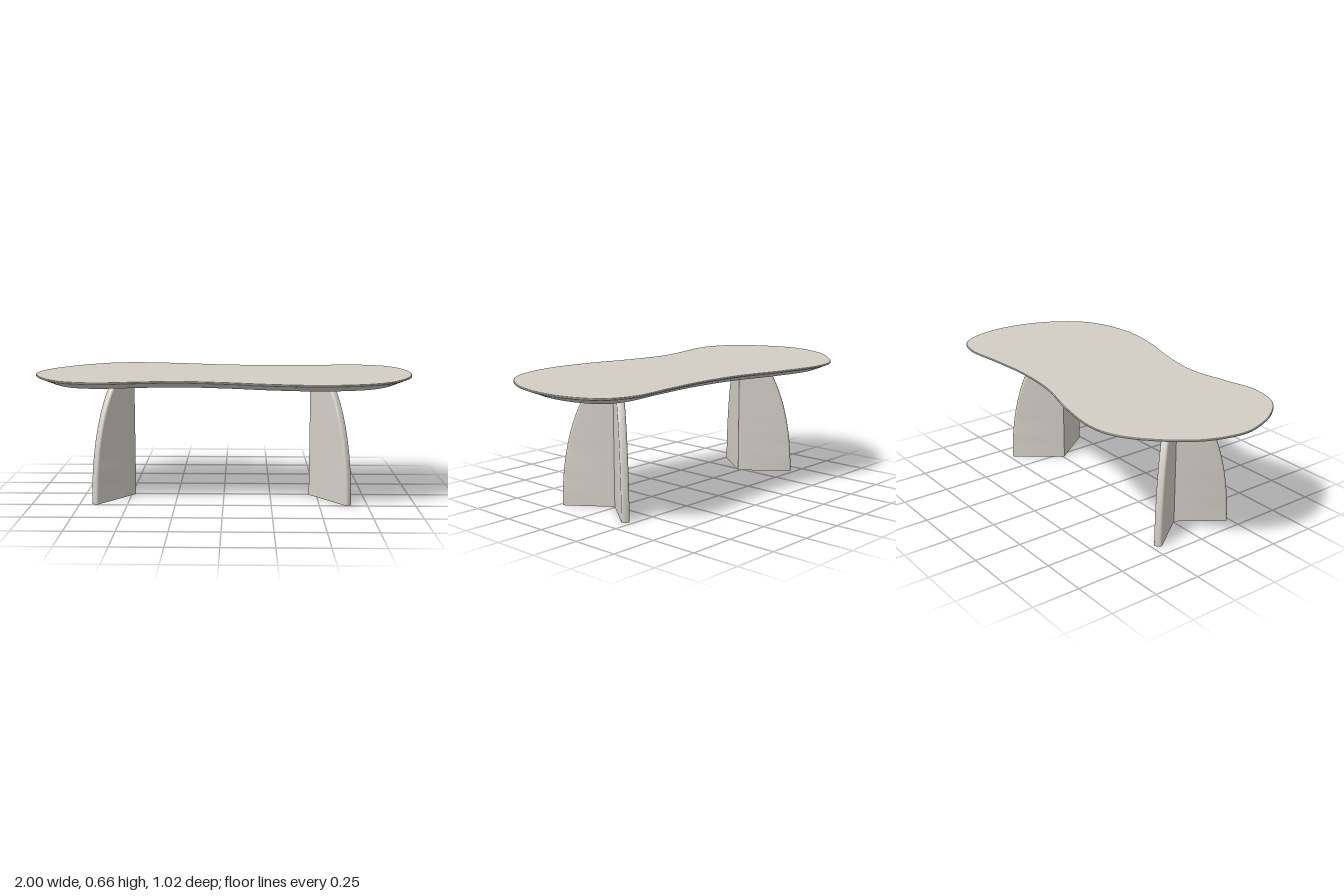
import * as THREE from 'three';
import { toCreasedNormals } from 'three/addons/utils/BufferGeometryUtils.js';

const stone = new THREE.MeshStandardMaterial({ color: 0xd2cec6 });
stone.name = 'warm grey stone';

// Skin a stack of matching loops (clockwise from above, bottom to top) and cap both ends
function loft(rings) {
  const n = rings[0].points.length;
  const positions = [];
  const index = [];
  for (const { y, points } of rings) for (const p of points) positions.push(p.x, y, p.y);
  for (let j = 0; j < rings.length - 1; j++) {
    for (let i = 0; i < n; i++) {
      const a = j * n + i, b = j * n + (i + 1) % n;
      index.push(a, b + n, b, a, a + n, b + n);
    }
  }
  const cap = (points, base, up) => {
    for (const [a, b, c] of THREE.ShapeUtils.triangulateShape(points.slice(), [])) {
      const ab = points[b].clone().sub(points[a]);
      const ac = points[c].clone().sub(points[a]);
      const facesUp = ab.cross(ac) < 0;
      if (facesUp === up) index.push(base + a, base + b, base + c);
      else index.push(base + a, base + c, base + b);
    }
  };
  cap(rings[0].points, 0, false);
  cap(rings.at(-1).points, (rings.length - 1) * n, true);
  const geometry = new THREE.BufferGeometry();
  geometry.setAttribute('position', new THREE.Float32BufferAttribute(positions, 3));
  geometry.setIndex(index);
  return toCreasedNormals(geometry, 0.3);
}

// Tabletop: freeform outline with a thin lip and a wide chamfer underneath
function tabletopGeometry() {
  const outline = [
    [-1, 0], [-0.945, -0.2], [-0.78, -0.4], [-0.64, -0.49], [-0.5, -0.51], [-0.26, -0.47],
    [0, -0.4], [0.27, -0.376], [0.51, -0.388], [0.76, -0.405], [0.9, -0.35], [0.975, -0.22],
    [1, -0.04], [0.955, 0.19], [0.83, 0.385], [0.7, 0.465], [0.49, 0.505], [0.245, 0.475],
    [0, 0.405], [-0.235, 0.366], [-0.45, 0.4], [-0.635, 0.432], [-0.8, 0.385],
    [-0.915, 0.26], [-0.982, 0.11],
  ].map(([x, z]) => new THREE.Vector3(x, 0, z));
  const curve = new THREE.CatmullRomCurve3(outline, true);
  const count = 180;
  const inset = (d) => Array.from({ length: count }, (_, i) => {
    const p = curve.getPointAt(i / count);
    const t = curve.getTangentAt(i / count);
    return new THREE.Vector2(p.x - t.z * d, p.z + t.x * d);
  });
  return loft([
    { y: 0.624, points: inset(0.078) },
    { y: 0.656, points: inset(0) },
    { y: 0.661, points: inset(0) },
    { y: 0.664, points: inset(0.003) },
  ]);
}

// Leg: two panels meeting in a V, outer ends following an ellipse and softly rounded
function legGeometry() {
  const angle = THREE.MathUtils.degToRad(53.5);
  const thickness = 0.04, fillet = 0.013, reach = 0.302, steps = 8;
  const along = new THREE.Vector2(Math.cos(angle), Math.sin(angle));
  const across = new THREE.Vector2(along.y, -along.x);
  const at = (u, v) => along.clone().multiplyScalar(u).addScaledVector(across, v);

  const section = (length) => {
    const end = [];
    for (const [v, start] of [[fillet, -Math.PI / 2], [thickness - fillet, 0]]) {
      for (let k = 0; k <= steps; k++) {
        const a = start + (k / steps) * Math.PI / 2;
        end.push(at(length - fillet + fillet * Math.cos(a), v + fillet * Math.sin(a)));
      }
    }
    const back = end.map((p) => new THREE.Vector2(p.x, -p.y));
    const inner = new THREE.Vector2(thickness / Math.sin(angle), 0);
    return [new THREE.Vector2(0, 0), ...back, inner, ...end.reverse()];
  };

  const rings = [];
  for (let j = 0; j <= 24; j++) {
    const y = 0.63 * j / 24;
    rings.push({ y, points: section(reach * Math.sqrt(1 - (y / 0.71) ** 2)) });
  }
  return loft(rings);
}

export function createModel() {
  const table = new THREE.Group();
  table.name = 'table';

  const top = new THREE.Mesh(tabletopGeometry(), stone);
  top.name = 'tabletop';
  table.add(top);

  // Both legs open outwards
  const geometry = legGeometry();
  for (const [name, x, turn] of [['leftLeg', 0.46, 0], ['rightLeg', -0.479, Math.PI]]) {
    const leg = new THREE.Mesh(geometry, stone);
    leg.name = name;
    leg.position.set(x, 0, 0.009);
    leg.rotation.y = turn;
    table.add(leg);
  }
  return table;
}
